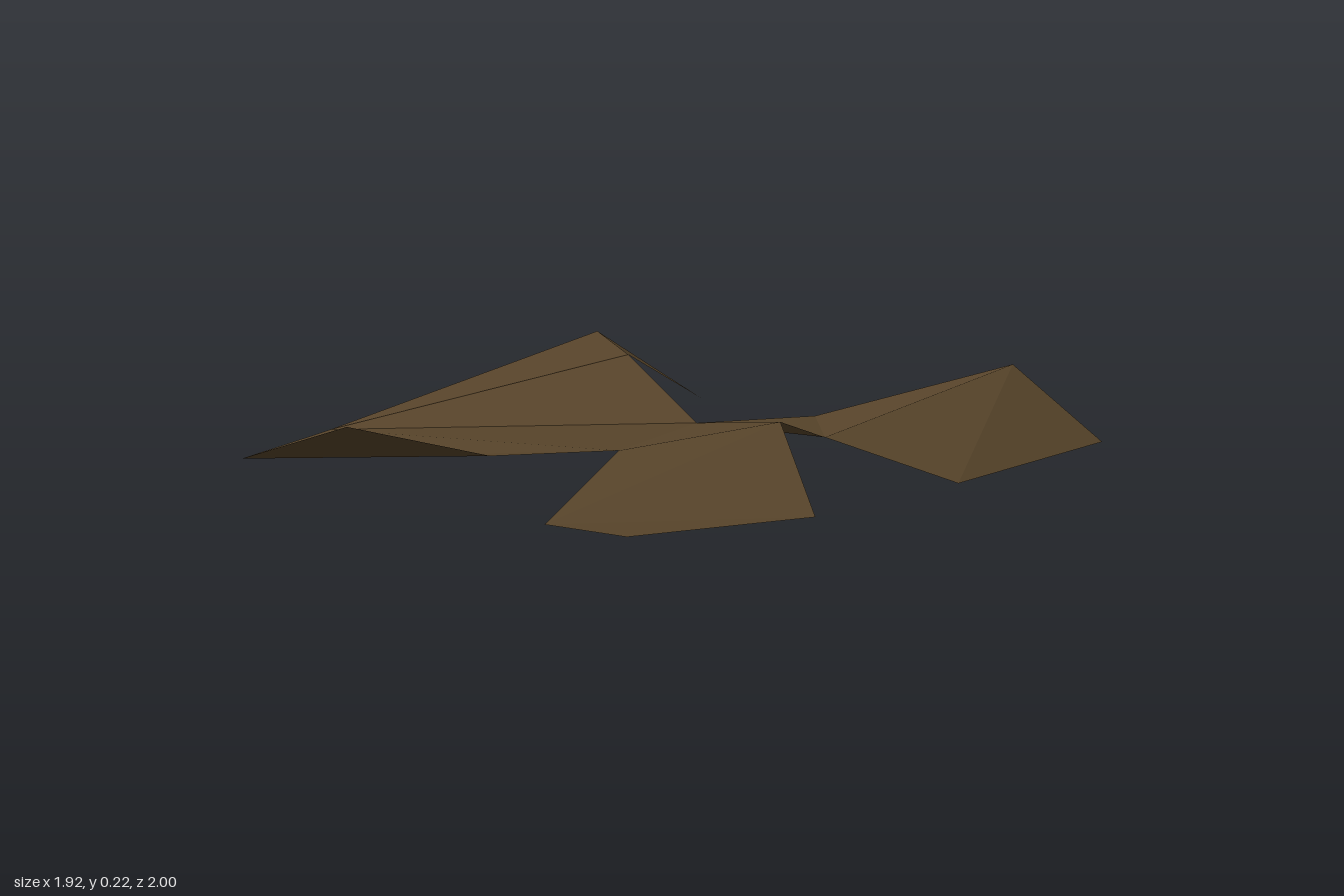
import * as THREE from 'three';

// Corner points of the folded sheet: x, y, z
const P = {
  sideBack: [-0.96, 0.16, -0.82], sideTip: [-0.55, 0.025, -0.79],
  sidePeak: [-0.385, 0.225, -0.31], neckBack: [-0.09, 0.078, -0.26],
  sideFront: [-0.96, 0.025, 0.25], bodyCorner: [-0.82, 0.025, 0.76],
  bodyTip: [-0.22, 0.21, 1.0], bodyEnd: [0.145, 0.15, 0.825],
  hipInner: [0.27, 0.132, 0.45], hipOuter: [0.46, 0.177, 0.01],
  neckFront: [0.45, 0.11, -0.18],
  wingInner: [-0.14, 0.025, -0.79], wingPeak: [0.39, 0.2, -1.0],
  wingTip: [0.715, 0.025, -1.0], wingOuter: [0.8, 0.005, -0.33],
  legOuter: [0.96, 0.025, 0.42], legEnd: [0.8, 0.025, 1.0], legInner: [0.5, 0.025, 1.0],
};

// Flat facets per part, each a triangle between three named corners
const PARTS = {
  body: [
    ['bodyCorner', 'bodyTip', 'bodyEnd'],
    ['bodyCorner', 'bodyEnd', 'hipInner'],
    ['sideFront', 'bodyCorner', 'hipInner'],
    ['sideFront', 'hipInner', 'neckBack'],
    ['neckBack', 'hipInner', 'hipOuter'],
    ['neckBack', 'hipOuter', 'neckFront'],
  ],
  sideFlap: [
    ['sideFront', 'neckBack', 'sidePeak'],
    ['sideFront', 'sidePeak', 'sideBack'],
    ['sideBack', 'sidePeak', 'sideTip'],
  ],
  backWing: [
    ['neckBack', 'neckFront', 'wingInner'],
    ['wingInner', 'neckFront', 'wingPeak'],
    ['wingPeak', 'neckFront', 'wingOuter'],
    ['wingPeak', 'wingOuter', 'wingTip'],
  ],
  frontLeg: [
    ['hipInner', 'legInner', 'hipOuter'],
    ['hipOuter', 'legInner', 'legOuter'],
    ['legOuter', 'legInner', 'legEnd'],
  ],
};

// Builds an open faceted sheet from triangles of corner names
function sheet(facets) {
  const geometry = new THREE.BufferGeometry();
  const points = facets.flatMap((f) => f.flatMap((name) => P[name]));
  geometry.setAttribute('position', new THREE.Float32BufferAttribute(points, 3));
  geometry.computeVertexNormals();
  return geometry;
}

export function createModel() {
  const group = new THREE.Group();
  group.name = 'foldedSheet';
  const brown = new THREE.MeshStandardMaterial({
    name: 'dark brown', color: 0x57442a, flatShading: true, side: THREE.DoubleSide,
  });
  for (const [name, facets] of Object.entries(PARTS)) {
    const mesh = new THREE.Mesh(sheet(facets), brown);
    mesh.name = name;
    group.add(mesh);
  }
  return group;
}
